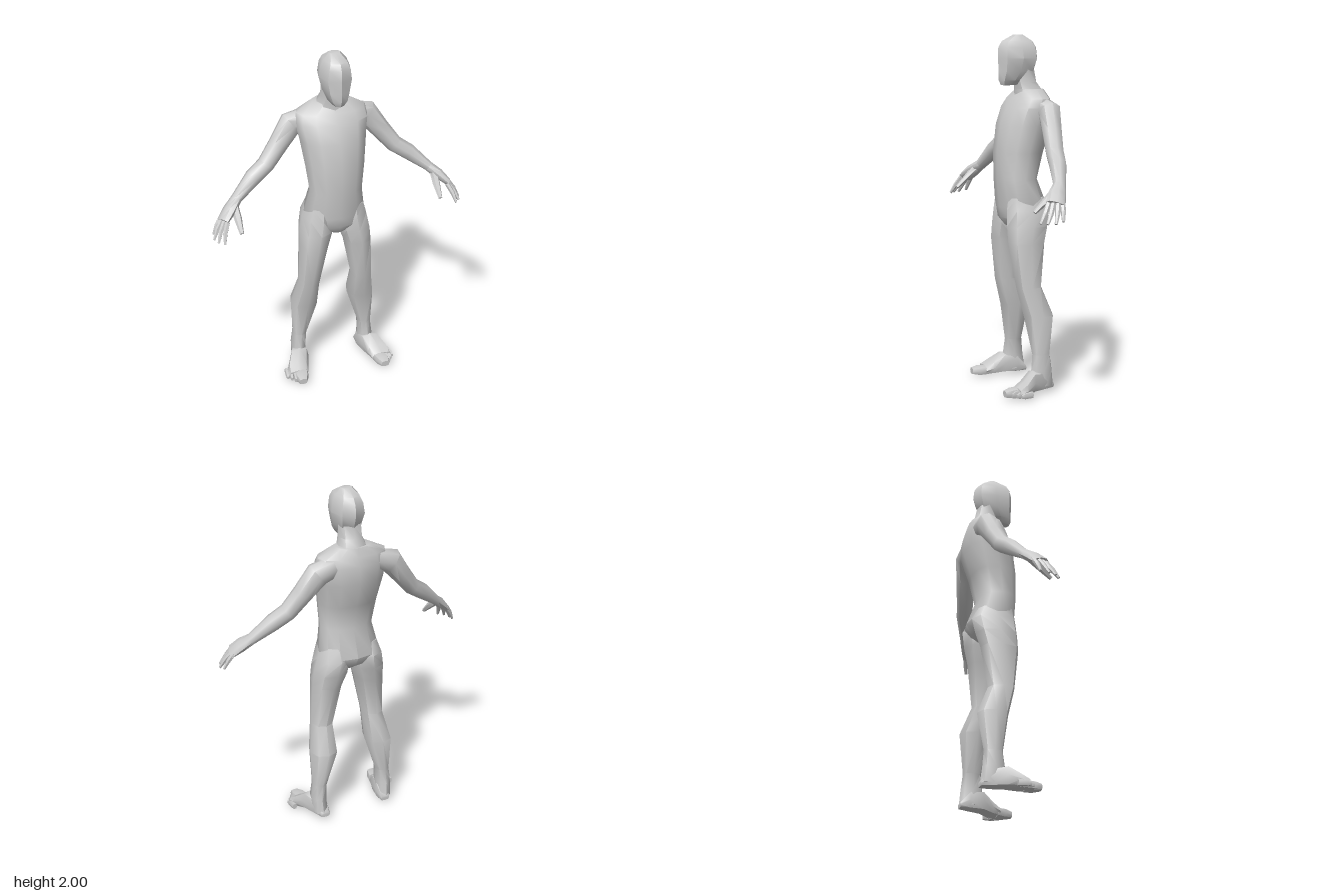
import * as THREE from 'three';
import { toCreasedNormals } from 'three/addons/utils/BufferGeometryUtils.js';

const material = new THREE.MeshStandardMaterial({ color: 0xcccccc });
const V = (x, y, z) => new THREE.Vector3(x, y, z);

// Rounded polygon around a centre, spanned by two half-axes
function ring(c, u, v, sides, power) {
  const soft = (a) => Math.sign(a) * Math.pow(Math.abs(a), power);
  return Array.from({ length: sides }, (_, i) => {
    const a = (i / sides) * Math.PI * 2;
    return c.clone().addScaledVector(u, soft(Math.cos(a))).addScaledVector(v, soft(Math.sin(a)));
  });
}

// Closed skin over a list of rings; side -1 mirrors it to the right
function loft(name, rings, side = 1, crease = 0.9) {
  const n = rings[0].length;
  const points = rings.flat().map((p) => V(p.x * side, p.y, p.z));
  const index = [];
  for (let r = 0; r < rings.length - 1; r++) {
    for (let i = 0; i < n; i++) {
      const a = r * n + i, b = r * n + ((i + 1) % n);
      index.push(a, b, b + n, a, b + n, a + n);
    }
  }
  const last = (rings.length - 1) * n;
  for (let i = 1; i < n - 1; i++) {
    index.push(0, i + 1, i, last, last + i, last + i + 1);
  }
  // Turn the faces outward if the enclosed volume is negative
  let volume = 0;
  for (let i = 0; i < index.length; i += 3) {
    const [a, b, c] = [0, 1, 2].map((k) => points[index[i + k]].clone().sub(points[0]));
    volume += a.dot(b.cross(c));
  }
  if (volume < 0) index.reverse();
  const geometry = new THREE.BufferGeometry().setFromPoints(points);
  geometry.setIndex(index);
  const mesh = new THREE.Mesh(toCreasedNormals(geometry, crease), material);
  mesh.name = name;
  return mesh;
}

// Horizontal rings from rows of [y, xMin, xMax, zFront, zBack]
const levels = (rows, sides, power = 0.85) => rows.map(([y, x0, x1, zf, zb]) =>
  ring(V((x0 + x1) / 2, y, (zf + zb) / 2), V((x1 - x0) / 2, 0, 0), V(0, 0, (zf - zb) / 2), sides, power));

// Same, symmetric about x = 0, from rows of [y, halfWidth, zFront, zBack]
const centred = (rows, sides, power) =>
  levels(rows.map(([y, w, zf, zb]) => [y, -w, w, zf, zb]), sides, power);

// Upright rings from rows of [z, xMin, xMax, yBottom, yTop]
const slices = (rows, sides) => rows.map(([z, x0, x1, y0, y1]) =>
  ring(V((x0 + x1) / 2, (y0 + y1) / 2, z), V((x1 - x0) / 2, 0, 0), V(0, (y1 - y0) / 2, 0), sides, 0.65));

// Rings square to a path of [x, y, z, thickness, width]
function limb(path, sides) {
  const pts = path.map(([x, y, z]) => V(x, y, z));
  return path.map(([, , , thick, wide], i) => {
    const t = pts[Math.min(i + 1, pts.length - 1)].clone().sub(pts[Math.max(i - 1, 0)]).normalize();
    const u = t.clone().cross(V(0, 0, 1)).normalize();
    const v = u.clone().cross(t).normalize();
    return ring(pts[i], u.multiplyScalar(thick), v.multiplyScalar(wide), sides, 0.9);
  });
}

function createArm(side) {
  const arm = new THREE.Group();
  arm.name = side > 0 ? 'leftArm' : 'rightArm';
  // Shoulder to knuckles
  arm.add(loft('armAndPalm', limb([
    [0.13, 1.60, -0.10, 0.06, 0.06],
    [0.22, 1.575, -0.105, 0.07, 0.062],
    [0.30, 1.47, -0.085, 0.055, 0.055],
    [0.38, 1.37, -0.065, 0.048, 0.05],
    [0.46, 1.315, -0.045, 0.046, 0.048],
    [0.57, 1.222, -0.005, 0.028, 0.035],
    [0.62, 1.18, 0.03, 0.03, 0.048],
    [0.668, 1.135, 0.06, 0.02, 0.052],
  ], 8), side));
  // Four fingers fanned across the palm
  const fingers = [
    [[0.66, 1.15, 0.02], [0.72, 1.05, 0.04]],
    [[0.665, 1.145, 0.045], [0.728, 1.04, 0.085]],
    [[0.66, 1.14, 0.07], [0.713, 1.04, 0.125]],
    [[0.65, 1.14, 0.092], [0.685, 1.04, 0.152]],
  ];
  for (const [base, tip] of fingers) {
    const mid = base.map((b, i) => (b + tip[i]) / 2 + (i === 0 ? 0.006 : 0));
    arm.add(loft('finger', limb([
      [...base, 0.014, 0.015], [...mid, 0.013, 0.014], [...tip, 0.007, 0.008],
    ], 6), side));
  }
  arm.add(loft('thumb', limb([
    [0.59, 1.20, 0.02, 0.022, 0.026], [0.588, 1.145, 0.08, 0.022, 0.018], [0.587, 1.085, 0.145, 0.012, 0.01],
  ], 6), side));
  return arm;
}

function createLeg(side) {
  const leg = new THREE.Group();
  leg.name = side > 0 ? 'leftLeg' : 'rightLeg';
  // Hip to ankle
  leg.add(loft('thighAndCalf', levels([
    [1.10, 0.03, 0.165, 0.09, -0.12],
    [1.03, 0.01, 0.188, 0.10, -0.155],
    [0.94, 0.02, 0.207, 0.105, -0.14],
    [0.85, 0.05, 0.212, 0.105, -0.115],
    [0.60, 0.10, 0.222, 0.07, -0.08],
    [0.44, 0.095, 0.255, 0.03, -0.145],
    [0.22, 0.165, 0.245, -0.01, -0.115],
    [0.13, 0.17, 0.255, 0.0, -0.125],
    [0.04, 0.165, 0.25, 0.0, -0.135],
  ], 8), side));
  // Heel to ball
  leg.add(loft('foot', slices([
    [-0.135, 0.17, 0.225, 0.02, 0.05],
    [-0.08, 0.16, 0.25, 0.012, 0.12],
    [0.0, 0.168, 0.285, 0.012, 0.135],
    [0.06, 0.19, 0.32, 0.006, 0.085],
    [0.105, 0.205, 0.325, 0.006, 0.055],
  ], 8), side));
  // Big toe, then smaller ones stepping outward
  leg.add(loft('bigToe', slices([
    [0.09, 0.205, 0.285, 0.004, 0.055], [0.14, 0.215, 0.295, 0.0, 0.055], [0.18, 0.235, 0.285, 0.008, 0.045],
  ], 8), side));
  for (let i = 0; i < 3; i++) {
    const x = 0.292 + i * 0.018, z = 0.15 - i * 0.022;
    leg.add(loft('smallToe', slices([
      [z - 0.07, x - 0.022, x + 0.006, 0.006, 0.05 - i * 0.004],
      [z - 0.02, x - 0.012, x + 0.012, 0.006, 0.046 - i * 0.004],
      [z, x - 0.006, x + 0.012, 0.01, 0.034 - i * 0.003],
    ], 6), side));
  }
  return leg;
}

export function createModel() {
  const figure = new THREE.Group();
  figure.name = 'humanFigure';

  figure.add(loft('torso', centred([
    [0.935, 0.05, 0.07, -0.06],
    [0.98, 0.155, 0.098, -0.125],
    [1.04, 0.182, 0.105, -0.16],
    [1.20, 0.152, 0.12, -0.10],
    [1.35, 0.17, 0.12, -0.135],
    [1.50, 0.19, 0.10, -0.183],
    [1.60, 0.21, 0.06, -0.178],
    [1.65, 0.20, 0.025, -0.165],
    [1.70, 0.10, -0.01, -0.148],
  ], 12)));

  figure.add(loft('neck', centred([
    [1.64, 0.10, 0.015, -0.155],
    [1.70, 0.08, 0.01, -0.145],
    [1.74, 0.066, 0.015, -0.115],
    [1.81, 0.066, 0.02, -0.10],
  ], 8)));

  figure.add(loft('head', centred([
    [1.722, 0.03, 0.095, 0.0],
    [1.75, 0.055, 0.108, -0.05],
    [1.80, 0.074, 0.108, -0.102],
    [1.87, 0.09, 0.112, -0.125],
    [1.93, 0.08, 0.11, -0.118],
    [1.965, 0.064, 0.09, -0.095],
    [2.0, 0.032, 0.02, -0.035],
  ], 8), 1, 0.6));

  for (const side of [1, -1]) figure.add(createArm(side), createLeg(side));
  return figure;
}
